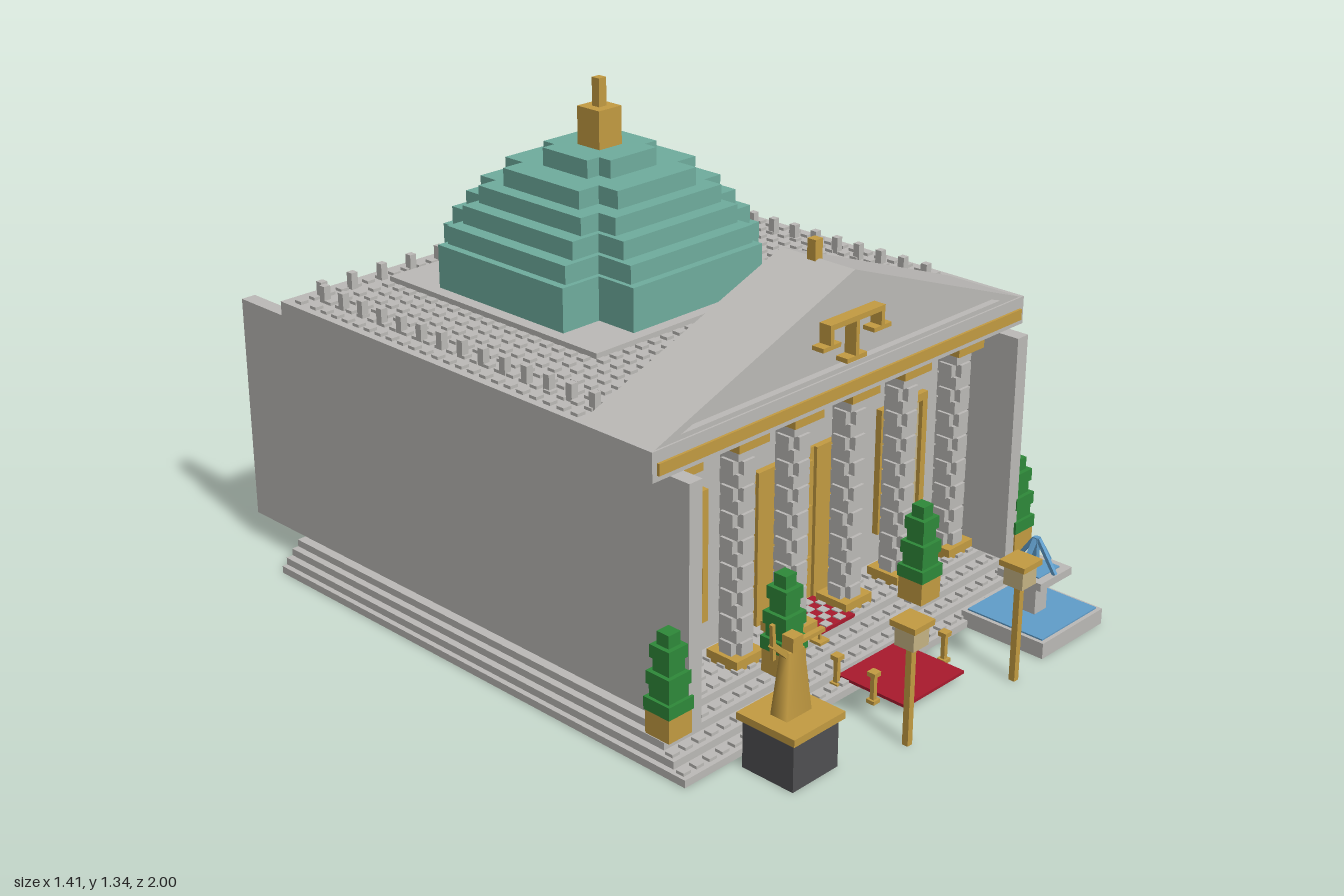
import * as THREE from 'three';
import { mergeGeometries } from 'three/addons/utils/BufferGeometryUtils.js';

const mat = (name, color) => {
  const m = new THREE.MeshStandardMaterial({ color });
  m.name = name;
  return m;
};

export function createModel() {
  const model = new THREE.Group();
  model.name = 'courthouse';
  const stone = mat('stone', 0xbdbbb8), gold = mat('gold', 0xc49c42), copper = mat('copper', 0x70ae9f);
  const leaf = mat('leaf', 0x2f8a3a), red = mat('red', 0xaa1a2e), water = mat('water', 0x619ecb);
  const dark = mat('dark', 0x505052), glass = mat('glass', 0xc6b484);

  // Helpers: box geometry from its extents, and meshes from merged boxes
  const ext = (x0, x1, y0, y1, z0, z1) =>
    new THREE.BoxGeometry(x1 - x0, y1 - y0, z1 - z0).translate((x0 + x1) / 2, (y0 + y1) / 2, (z0 + z1) / 2);
  // Box centred on x and z, standing between y0 and y1
  const cb = (x, z, w, d, y0, y1) => ext(x - w / 2, x + w / 2, y0, y1, z - d / 2, z + d / 2);
  const add = (name, material, ...geos) => {
    const mesh = new THREE.Mesh(geos.length > 1 ? mergeGeometries(geos) : geos[0], material);
    mesh.name = name;
    model.add(mesh);
    return mesh;
  };
  const polygon = (pts) => new THREE.Shape(pts.map(([x, y]) => new THREE.Vector2(x, y)));
  const extrude = (shape, depth) => new THREE.ExtrudeGeometry(shape, { depth, bevelEnabled: false });
  // Rows of small square studs filling a rectangle
  const studs = (x0, x1, z0, z1, y, pitch = 0.042) => {
    const out = [];
    const nx = Math.max(1, Math.floor((x1 - x0) / pitch)), nz = Math.max(1, Math.floor((z1 - z0) / pitch));
    for (let i = 0; i < nx; i++) for (let j = 0; j < nz; j++)
      out.push(cb(x0 + (i + 0.5) * (x1 - x0) / nx, z0 + (j + 0.5) * (z1 - z0) / nz, 0.024, 0.024, y, y + 0.008));
    return out;
  };

  // Stepped base
  const halfX = [0.705, 0.69, 0.67, 0.65], frontZ = [0.72, 0.67, 0.62, 0.57];
  halfX.forEach((w, i) => {
    const y = i * 0.02;
    add('step', stone, ext(-w, w, y, y + 0.02, -0.785, frontZ[i]));
    if (i < 3) add('stepStuds', stone, ...studs(-w, w, frontZ[i + 1], frontZ[i], y + 0.02));
  });
  add('porchStuds', stone, ...studs(-0.58, 0.58, 0.43, 0.57, 0.08));
  add('rearStuds', stone, ...studs(-0.58, 0.58, -0.78, -0.69, 0.08));

  // Hall and long side walls
  add('hall', stone, ext(-0.585, 0.585, 0.08, 0.71, -0.69, 0.41));
  for (const s of [-1, 1]) add('sideWall', stone, cb(s * 0.603, -0.173, 0.042, 1.654, 0.08, 0.71));

  // Flat roof with studs and parapet posts
  add('roof', stone, ext(-0.68, 0.68, 0.71, 0.785, -0.745, 0.36));
  add('roofStuds', stone,
    ...studs(-0.67, 0.67, -0.735, -0.66, 0.785), ...studs(-0.67, 0.67, 0.12, 0.35, 0.785),
    ...studs(-0.67, -0.39, -0.66, 0.12, 0.785), ...studs(0.39, 0.67, -0.66, 0.12, 0.785));
  const posts = [];
  for (let i = 0; i < 14; i++) {
    for (const s of [-1, 1]) posts.push(cb(s * 0.602, 0.335 - i * 0.0765, 0.02, 0.02, 0.785, 0.83));
    if (i < 13) posts.push(cb(-0.588 + i * 0.098, -0.69, 0.02, 0.02, 0.785, 0.83));
  }
  add('parapetPosts', stone, ...posts);

  // Entablature and pediment
  add('entablature', stone, ext(-0.68, 0.68, 0.71, 0.785, 0.36, 0.595));
  add('goldBand', gold, ext(-0.665, 0.665, 0.725, 0.755, 0.59, 0.602));
  const rim = polygon([[-0.668, 0.785], [0.668, 0.785], [0, 1.032]]);
  rim.holes.push(polygon([[-0.585, 0.797], [0, 0.99], [0.585, 0.797]]));
  add('pedimentRim', stone, extrude(rim, 0.23).translate(0, 0, 0.36));
  add('tympanum', stone, extrude(polygon([[-0.62, 0.79], [0.62, 0.79], [0, 1.01]]), 0.205).translate(0, 0, 0.365));
  add('pedimentFinial', gold, cb(0, 0.465, 0.026, 0.026, 1.015, 1.08));

  // Balance emblem on the pediment
  const em = [[-0.006, 0.006, 0.82, 0.915], [-0.1, 0.1, 0.908, 0.922], [-0.036, 0.036, 0.808, 0.82]];
  for (const s of [-1, 1]) em.push(
    [s * 0.093 - 0.006, s * 0.093 + 0.006, 0.87, 0.91], [s * 0.093 - 0.032, s * 0.093 + 0.032, 0.86, 0.871]);
  add('balanceEmblem', gold, ...em.map((e) => ext(...e, 0.565, 0.605)));

  // Stepped dome of cross-shaped tiers
  add('domePlinth', stone, cb(0, -0.27, 0.78, 0.78, 0.785, 0.8));
  const cross = (w, a) => polygon([[-w, -a], [-a, -a], [-a, -w], [a, -w], [a, -a], [w, -a],
    [w, a], [a, a], [a, w], [-a, w], [-a, a], [-w, a]]);
  [[0.355, 0.233, 0.8, 0.917], [0.333, 0.22, 0.917, 0.966], [0.293, 0.205, 0.966, 1.015],
    [0.25, 0.19, 1.015, 1.062], [0.208, 0.14, 1.062, 1.11], [0.123, 0.082, 1.11, 1.158]].forEach(([w, a, y0, y1]) =>
    add('domeTier', copper, extrude(cross(w, a), y1 - y0).rotateX(-Math.PI / 2).translate(0, y0, -0.267)));
  add('domeFinial', gold, cb(0, -0.267, 0.08, 0.08, 1.158, 1.26), cb(0, -0.267, 0.026, 0.026, 1.26, 1.335));

  // Columns of alternating courses with gold base and capital
  for (const x of [-0.525, -0.3, -0.105, 0.105, 0.308, 0.525]) {
    const z = 0.5, courses = [], n = 16, h = 0.55 / n;
    for (let i = 0; i < n; i++) {
      const y = 0.11 + i * h;
      if (i % 2) courses.push(cb(x, z, 0.06, 0.06, y, y + h));
      else courses.push(cb(x, z, 0.076, 0.04, y, y + h), cb(x, z, 0.04, 0.076, y, y + h));
    }
    add('columnShaft', stone, ...courses);
    add('columnTrim', gold, cb(x, z, 0.1, 0.1, 0.08, 0.11), cb(x, z, 0.105, 0.105, 0.66, 0.69));
    add('columnTop', stone, cb(x, z, 0.075, 0.075, 0.69, 0.71));
  }

  // Double door with raised panels
  const door = [ext(-0.147, 0.147, 0.08, 0.502, 0.4, 0.418)];
  for (const s of [-1, 1]) {
    for (const [y0, y1] of [[0.11, 0.2], [0.215, 0.345], [0.36, 0.47]])
      door.push(cb(s * 0.037, 0.42, 0.046, 0.012, y0, y1));
    door.push(ext(s * 0.108 - 0.037, s * 0.108 + 0.037, 0.08, 0.502, 0.41, 0.428));
  }
  add('door', gold, ...door);

  // Tall windows
  for (const s of [-1, 1]) {
    const x = s * 0.418;
    add('windowPane', glass, cb(x, 0.412, 0.15, 0.008, 0.18, 0.51));
    add('windowFrame', gold, cb(x, 0.418, 0.19, 0.02, 0.5, 0.522), cb(x, 0.418, 0.19, 0.02, 0.168, 0.188),
      cb(x - 0.085, 0.418, 0.02, 0.02, 0.188, 0.5), cb(x + 0.085, 0.418, 0.02, 0.02, 0.188, 0.5));
  }

  // Carpet, checked porch mat and barrier posts
  add('carpet', red, ext(-0.115, 0.115, 0.022, 0.03, 0.67, 0.88));
  add('porchMat', red, ext(-0.066, 0.066, 0.08, 0.089, 0.43, 0.57));
  const checks = [];
  for (let i = 0; i < 5; i++) for (let j = 0; j < 5; j++)
    if ((i + j) % 2) checks.push(cb(-0.052 + i * 0.026, 0.445 + j * 0.027, 0.024, 0.024, 0.085, 0.092));
  add('matChecks', stone, ...checks);
  for (const s of [-1, 1]) for (const z of [0.685, 0.8])
    add('barrierPost', gold, cb(s * 0.137, z, 0.012, 0.012, 0.02, 0.09), cb(s * 0.137, z, 0.024, 0.024, 0.088, 0.1),
      cb(s * 0.137, z, 0.024, 0.024, 0.015, 0.025));

  // Clipped trees in gold planters
  for (const x of [-0.655, -0.26, 0.26, 0.655]) {
    add('planter', gold, cb(x, 0.62, 0.076, 0.076, 0.082, 0.145));
    [0.082, 0.064, 0.074, 0.052, 0.062, 0.038].forEach((w, i) =>
      add('tree', leaf, cb(x, 0.62, w, w, 0.145 + i * 0.0335, 0.1785 + i * 0.0335)));
  }

  // Street lamps
  for (const s of [-1, 1]) {
    const x = s * 0.208;
    add('lampPost', gold, cb(x, 0.962, 0.017, 0.017, 0, 0.265), cb(x, 0.962, 0.074, 0.074, 0.316, 0.331));
    add('lantern', glass, cb(x, 0.962, 0.056, 0.056, 0.265, 0.316));
  }

  // Statue with raised sword and balance
  const sx = -0.472, sz = 0.83;
  add('statuePedestal', dark, cb(sx, sz, 0.155, 0.155, 0, 0.127));
  add('statuePlinth', gold, cb(sx, sz, 0.176, 0.176, 0.127, 0.146));
  const robe = new THREE.CylinderGeometry(0.035, 0.06, 0.165, 4).rotateY(Math.PI / 4).scale(1, 1, 0.6);
  add('statueRobe', gold, robe.translate(sx, 0.228, sz));
  add('statueHead', gold, cb(sx, sz, 0.034, 0.034, 0.31, 0.346));
  add('statueArm', gold, new THREE.BoxGeometry(0.075, 0.014, 0.016).rotateZ(-0.75).translate(sx - 0.042, 0.32, sz));
  add('statueSword', gold, new THREE.BoxGeometry(0.01, 0.09, 0.01).rotateZ(0.05).translate(sx - 0.067, 0.352, sz));
  add('statueBalance', gold, ext(sx + 0.015, sx + 0.105, 0.314, 0.324, sz - 0.007, sz + 0.007),
    cb(sx + 0.094, sz, 0.006, 0.006, 0.295, 0.32), cb(sx + 0.094, sz, 0.032, 0.032, 0.289, 0.296));

  // Fountain with upper bowl and four leaning jets
  const fx = 0.468, fz = 0.827;
  add('fountainBasin', stone, cb(fx, fz, 0.258, 0.254, 0, 0.043));
  add('basinWater', water, cb(fx, fz, 0.236, 0.232, 0.04, 0.047));
  add('fountainStem', stone, cb(fx, fz, 0.05, 0.05, 0.045, 0.145));
  add('fountainBowl', stone, cb(fx, fz, 0.134, 0.134, 0.143, 0.164));
  add('bowlWater', water, cb(fx, fz, 0.09, 0.09, 0.16, 0.167));
  add('centreJet', water, cb(fx, fz, 0.014, 0.014, 0.165, 0.25));
  for (let i = 0; i < 4; i++)
    add('leaningJet', water, new THREE.BoxGeometry(0.01, 0.1, 0.01).rotateZ(0.6).translate(0.034, 0.205, 0)
      .rotateY(i * Math.PI / 2).translate(fx, 0, fz));

  return model;
}
